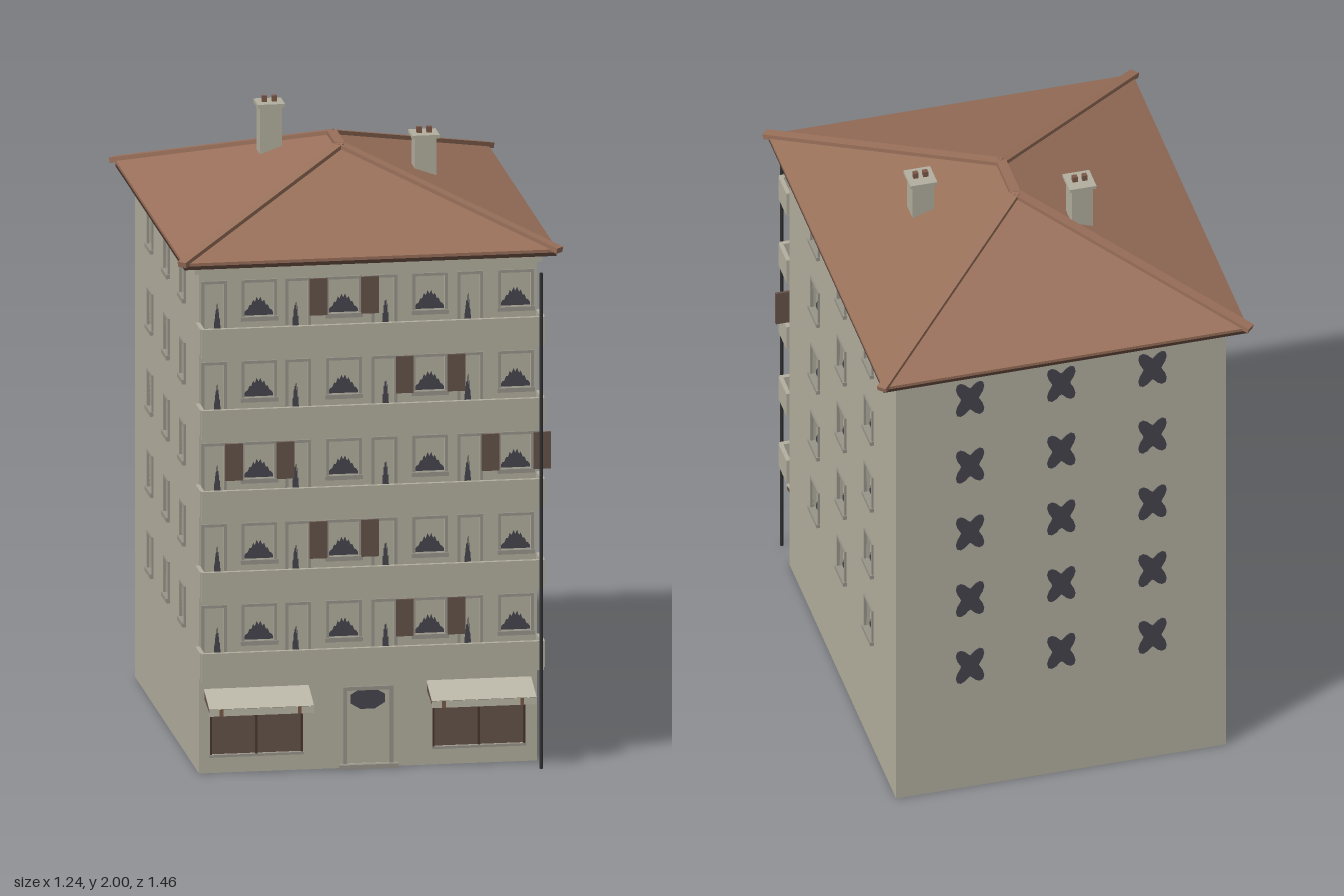
import * as THREE from 'three';
import { ConvexGeometry } from 'three/addons/geometries/ConvexGeometry.js';

const mat = (name, color, side = THREE.FrontSide) => {
  const m = new THREE.MeshStandardMaterial({ color, side });
  m.name = name;
  return m;
};

export function createModel() {
  const plaster = mat('plaster', 0xb3af9f, THREE.DoubleSide);
  const trim = mat('trim', 0x98958a);
  const tile = mat('roofTile', 0x99705a);
  const eaveDark = mat('eaveDark', 0x4a352d);
  const wood = mat('shutterWood', 0x65534a, THREE.DoubleSide);
  const glass = mat('glass', 0x45454d, THREE.DoubleSide);
  const canvas = mat('awningCanvas', 0xbcb8a8);
  const iron = mat('iron', 0x303032);
  const clay = mat('clay', 0x7d5848);

  const model = new THREE.Group();
  model.name = 'apartmentBuilding';
  const add = (parent, name, geo, m, x = 0, y = 0, z = 0) => {
    const mesh = new THREE.Mesh(geo, m);
    mesh.name = name;
    mesh.position.set(x, y, z);
    parent.add(mesh);
    return mesh;
  };
  const box = (p, name, m, x0, x1, y0, y1, z0, z1) =>
    add(p, name, new THREE.BoxGeometry(x1 - x0, y1 - y0, z1 - z0), m,
      (x0 + x1) / 2, (y0 + y1) / 2, (z0 + z1) / 2);
  const rect = (C, x0, x1, y0, y1) => new C([[x0, y0], [x1, y0], [x1, y1], [x0, y1]]
    .map(p => new THREE.Vector2(...p)));
  const extrude = (shape, depth) =>
    new THREE.ExtrudeGeometry(shape, { depth, bevelEnabled: false });

  const HX = 0.543, Z0 = -0.66, Z1 = 0.62, TOP = 1.65, T = 0.02;
  const floorY = [0, 1, 2, 3, 4].map(i => 0.415 + i * 0.265);

  // Wall facades: local x along the wall, outer face at local z = 0
  const facade = (name, half, x, z, turn, holes) => {
    const g = new THREE.Group();
    g.name = name;
    g.position.set(x, 0, z);
    g.rotation.y = turn;
    model.add(g);
    const s = rect(THREE.Shape, -half, half, 0, TOP);
    holes.forEach(h => s.holes.push(rect(THREE.Path, ...h)));
    add(g, 'wall', extrude(s, T), plaster, 0, 0, -T);
    return g;
  };

  // Jagged dark glazing rising from the foot of a pane
  const mound = (w, h) => {
    const n = 16, pts = [new THREE.Vector2(-w / 2, 0)];
    for (let i = 0; i <= n; i++) {
      const a = i / n, jag = i % 2 ? 1 : 0.78;
      pts.push(new THREE.Vector2((a - 0.5) * w, h * jag * (0.2 + 0.8 * Math.sin(Math.PI * a) ** 1.3)));
    }
    pts.push(new THREE.Vector2(w / 2, 0));
    return new THREE.ShapeGeometry(new THREE.Shape(pts));
  };

  // Recessed pane, surrounding frame and optional sill
  const windowUnit = (g, name, [x0, x1, y0, y1], sill, glassW, glassH, glassX = 0, glassY = y0) => {
    const w = new THREE.Group();
    w.name = name;
    g.add(w);
    const b = 0.009;
    box(w, 'pane', plaster, x0, x1, y0, y1, -0.018, -0.013);
    const ring = rect(THREE.Shape, x0 - b, x1 + b, y0, y1 + b);
    ring.holes.push(rect(THREE.Path, x0, x1, y0 + 0.002, y1));
    add(w, 'frame', extrude(ring, 0.009), trim, 0, 0, -0.003);
    if (sill) box(w, 'sill', trim, x0 - b - 0.003, x1 + b + 0.003, y0 - 0.01, y0 + 0.004, -0.012, 0.012);
    add(w, 'glazing', mound(glassW, glassH), glass, (x0 + x1) / 2 + glassX, glassY + 0.003, -0.011);
  };

  // Side facades
  const sideHoles = zs => floorY.flatMap(y => zs.map(c => [c - 0.041, c + 0.041, y + 0.008, y + 0.123]));
  const midZ = (Z0 + Z1) / 2, halfZ = (Z1 - Z0) / 2;
  for (const s of [1, -1]) {
    const holes = sideHoles([0.305, -0.015, -0.34].map(z => -s * (z - midZ)));
    const g = facade(s > 0 ? 'leftFacade' : 'rightFacade', halfZ, s * HX, midZ, s * Math.PI / 2, holes);
    holes.forEach(h => windowUnit(g, 'sideWindow', h, true, 0.08, 0.062));
  }

  // Back facade with lobed flush windows
  const back = facade('backFacade', HX, 0, Z0, Math.PI, []);
  const lobes = [];
  for (let i = 0; i < 32; i++) {
    const a = i / 32 * Math.PI * 2, r = 0.8 - 0.28 * Math.cos(4 * a);
    lobes.push(new THREE.Vector2(0.056 * r * Math.cos(a), 0.078 * r * Math.sin(a)));
  }
  const lobed = extrude(new THREE.Shape(lobes), 0.004);
  for (const y of floorY) for (const x of [-0.3, 0, 0.3])
    add(back, 'backWindow', lobed, glass, x, y + 0.065, -0.001);

  // Front facade: wide windows and balcony doors alternate on each floor
  const wide = [-0.35, -0.078, 0.199, 0.475], narrow = [-0.495, -0.225, 0.052, 0.328];
  const wideHoles = floorY.flatMap(y => wide.map(c => [c - 0.048, c + 0.048, y + 0.01, y + 0.125]));
  const doorHoles = floorY.flatMap(y => narrow.map(c => [c - 0.032, c + 0.032, y - 0.07, y + 0.125]));
  const shopHoles = [[-0.505, -0.213, 0.06, 0.22], [0.21, 0.502, 0.06, 0.22]];
  const front = facade('frontFacade', HX, 0, Z1, 0,
    [...wideHoles, ...doorHoles, ...shopHoles, [-0.07, 0.07, 0.012, 0.255]]);
  wideHoles.forEach(h => windowUnit(front, 'frontWindow', h, true, 0.094, 0.062));
  doorHoles.forEach((h, i) =>
    windowUnit(front, 'balconyDoor', h, false, 0.028, 0.13, i % 4 === 0 ? 0.012 : 0.006 - (i % 2) * 0.012));

  // Open shutters beside one or two windows per floor
  [[2], [1], [0, 3], [2], [1]].forEach((list, f) => list.forEach(i => [-1, 1].forEach(s => {
    const c = wide[i] + s * 0.083, y = floorY[f];
    box(front, 'shutter', wood, c - 0.028, c + 0.028, y + 0.012, y + 0.132, 0.007, 0.016);
  })));

  // Balcony trays
  for (const y of floorY) {
    const b = new THREE.Group();
    b.name = 'balcony';
    model.add(b);
    const lo = y - 0.095;
    box(b, 'balconyFloor', plaster, -0.545, 0.545, lo, lo + 0.02, Z1, 0.71);
    box(b, 'parapet', plaster, -0.55, 0.55, lo, y, 0.705, 0.72);
    for (const s of [-1, 1])
      box(b, 'balconyEnd', plaster, s * 0.547 - 0.007, s * 0.547 + 0.007, lo + 0.008, y, Z1 - 0.002, 0.712);
  }

  // Shop windows and awnings
  for (const [x0, x1, y0, y1] of shopHoles) {
    const mid = (x0 + x1) / 2;
    box(front, 'shopShutter', wood, x0, x1, y0, y1, -0.016, -0.006);
    for (const x of [x0, mid, x1]) box(front, 'shopMullion', eaveDark, x - 0.003, x + 0.003, y0, y1, -0.006, 0.004);
    box(front, 'shopSill', trim, x0 - 0.006, x1 + 0.006, y0 - 0.008, y0, -0.005, 0.008);
    const side = new THREE.Shape([[0, 0.24], [0.108, 0.217], [0.108, 0.232], [0, 0.272]]
      .map(p => new THREE.Vector2(...p)));
    const a = add(front, 'awningFrame', extrude(side, x1 - x0 + 0.04), wood, x1 + 0.02, 0, 0);
    a.rotation.y = -Math.PI / 2;
    a.position.x = x1 + 0.02;
    const top = add(front, 'awningCanvas', new THREE.BoxGeometry(x1 - x0 + 0.044, 0.005, 0.117), canvas, mid, 0.2535, 0.055);
    top.rotation.x = Math.atan2(0.04, 0.108);
    box(front, 'awningValance', canvas, x0 - 0.021, x1 + 0.021, 0.212, 0.234, 0.107, 0.111);
    for (const x of [x0 + 0.01, x1 - 0.03])
      box(front, 'awningStripe', clay, x, x + 0.012, 0.212, 0.234, 0.1105, 0.112);
  }

  // Entrance
  box(front, 'entranceDoor', plaster, -0.07, 0.07, 0.012, 0.255, -0.016, -0.01);
  const jamb = rect(THREE.Shape, -0.08, 0.08, 0, 0.265);
  jamb.holes.push(rect(THREE.Path, -0.068, 0.068, 0.012, 0.253));
  add(front, 'doorFrame', extrude(jamb, 0.01), trim, 0, 0, -0.003);
  const light = add(front, 'doorGlass', new THREE.CircleGeometry(0.06, 8, Math.PI / 8), glass, 0, 0.222, -0.008);
  light.scale.y = 0.6;
  box(front, 'doorstep', trim, -0.095, 0.095, 0, 0.014, 0, 0.024);

  // Drainpipe
  add(model, 'drainpipe', new THREE.CylinderGeometry(0.006, 0.006, 1.62, 8), iron, 0.54, 0.81, 0.726);

  // Cornice and hipped roof
  box(model, 'cornice', plaster, -0.558, 0.558, 1.635, 1.662, -0.672, 0.634);
  const EX = 0.6, EB = -0.715, EF = 0.672, RY = 1.895, RB = -0.11, RF = 0.06;
  const V = (x, y, z) => new THREE.Vector3(x, y, z);
  const corners = [V(-EX, 1.682, EB), V(EX, 1.682, EB), V(EX, 1.682, EF), V(-EX, 1.682, EF)];
  const low = corners.map(c => V(c.x, 1.672, c.z));
  add(model, 'roof', new ConvexGeometry([...corners, ...low, V(0, RY, RB), V(0, RY, RF)]), tile);
  box(model, 'eaves', eaveDark, -EX + 0.002, EX - 0.002, 1.66, 1.674, EB + 0.002, EF - 0.002);

  // Ridge and hip caps
  const cap = (name, a, b) => {
    const m = add(model, name, new THREE.BoxGeometry(0.032, 0.018, a.distanceTo(b)), tile);
    m.position.copy(a).add(b).multiplyScalar(0.5);
    m.lookAt(b);
  };
  cap('ridgeCap', V(0, RY, RB), V(0, RY, RF));
  corners.forEach((c, i) => cap('hipCap', V(0, RY, i < 2 ? RB : RF),
    V(Math.sign(c.x) * (EX + 0.007), 1.68, c.z + (i < 2 ? -0.005 : 0.005))));

  // Chimneys with paired pots
  for (const [x, z, base, y] of [[-0.185, -0.205, 1.78, 1.97], [0.275, 0.027, 1.77, 1.908]]) {
    const c = new THREE.Group();
    c.name = 'chimney';
    c.position.set(x, 0, z);
    model.add(c);
    box(c, 'chimneyShaft', plaster, -0.035, 0.035, base, y, -0.035, 0.035);
    box(c, 'chimneyCap', plaster, -0.044, 0.044, y, y + 0.011, -0.044, 0.044);
    for (const s of [-1, 1])
      box(c, 'chimneyPot', clay, s * 0.016 - 0.008, s * 0.016 + 0.008, y + 0.01, y + 0.03, -0.008, 0.008);
  }
  return model;
}
